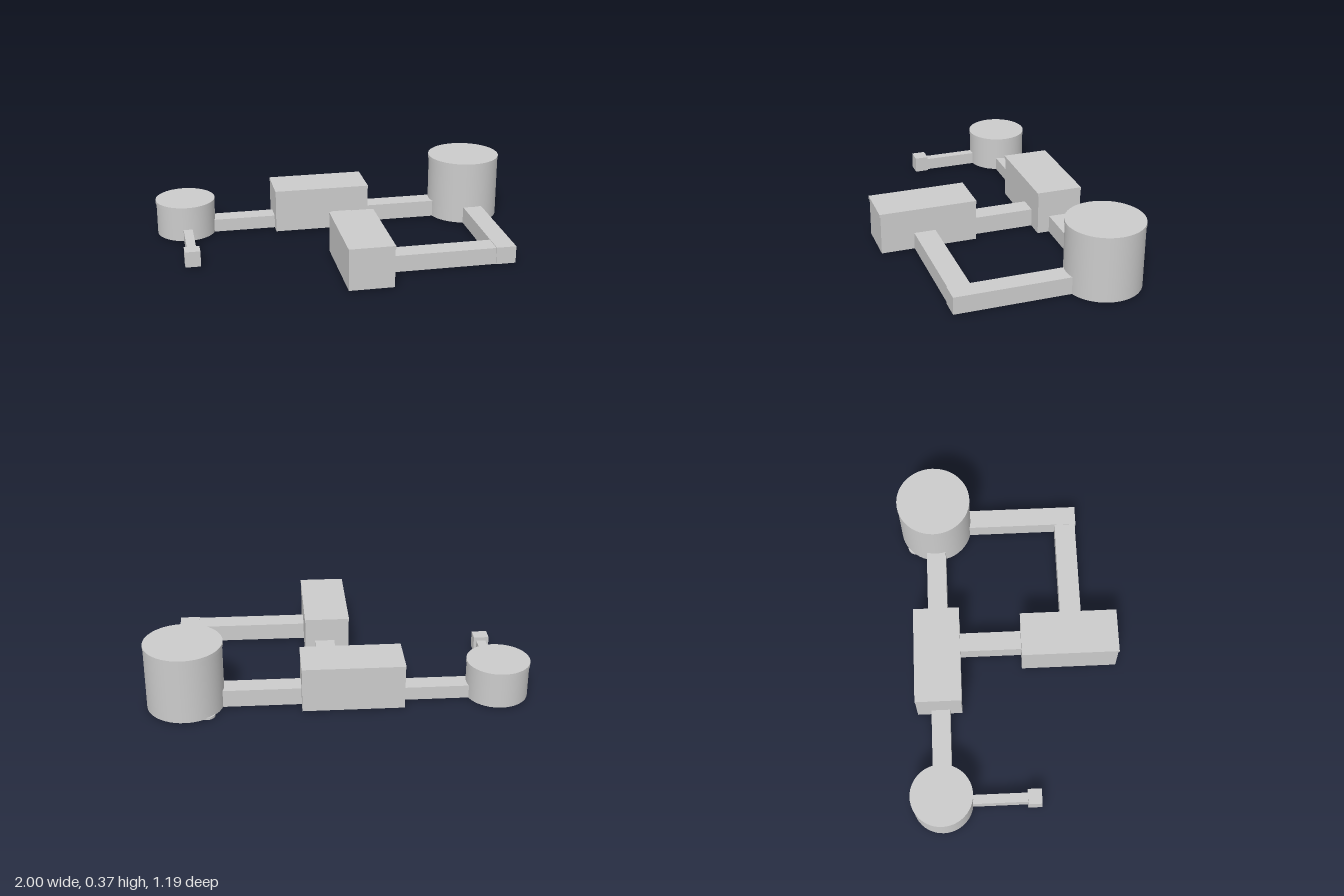
import * as THREE from 'three';

const material = new THREE.MeshStandardMaterial({ color: 0xcccccc });
const BASE = 0.008; // underside of all main parts

export function createModel() {
  const model = new THREE.Group();
  model.name = 'moduleCluster';

  const add = (parent, name, geometry, x, y, z) => {
    const mesh = new THREE.Mesh(geometry, material);
    mesh.name = name;
    mesh.position.set(x, y, z);
    parent.add(mesh);
  };
  // box given by its extents on each axis
  const box = (parent, name, [x0, x1], [y0, y1], [z0, z1]) =>
    add(parent, name, new THREE.BoxGeometry(x1 - x0, y1 - y0, z1 - z0),
      (x0 + x1) / 2, (y0 + y1) / 2, (z0 + z1) / 2);
  const disc = (parent, name, x, z, r, y0, y1) =>
    add(parent, name, new THREE.CylinderGeometry(r, r, y1 - y0, 48), x, (y0 + y1) / 2, z);
  const group = (name) => {
    const g = new THREE.Group();
    g.name = name;
    model.add(g);
    return g;
  };

  // Round modules: drum, lid with a fine lip
  for (const [name, x, r, top] of [
    ['smallRoundModule', -0.835, 0.163, 0.205],
    ['largeRoundModule', 0.795, 0.201, 0.365],
  ]) {
    const g = group(name);
    disc(g, 'drum', x, -0.393, r, BASE, top - 0.02);
    disc(g, 'lid', x - 0.001, -0.393, r + 0.003, top - 0.02, top);
  }

  // Box modules: hall and slightly overhanging roof
  for (const [name, [x0, x1], [z0, z1], top] of [
    ['rearHall', [-0.335, 0.195], [-0.52, -0.275], 0.25],
    ['frontHall', [-0.09, 0.15], [0.065, 0.59], 0.237],
  ]) {
    const g = group(name);
    box(g, 'walls', [x0, x1], [BASE, top - 0.017], [z0, z1]);
    box(g, 'roof', [x0 - 0.002, x1 + 0.002], [top - 0.017, top], [z0 - 0.002, z1 + 0.005]);
  }

  // Connecting corridors
  const corridors = group('corridors');
  box(corridors, 'leftCorridor', [0.19, 0.62], [BASE, 0.102], [-0.448, -0.34]);
  box(corridors, 'rightCorridor', [-0.69, -0.33], [BASE, 0.08], [-0.442, -0.34]);
  box(corridors, 'middleCorridor', [-0.01, 0.097], [BASE, 0.107], [-0.28, 0.07]);
  box(corridors, 'frontCorridor', [0.145, 0.76], [BASE, 0.1], [0.293, 0.41]);
  box(corridors, 'sideCorridor', [0.747, 0.855], [BASE, 0.103], [-0.23, 0.415]);

  // Entry passage ending in a small lock
  const entry = group('entry');
  box(entry, 'passage', [-0.862, -0.812], [BASE, 0.075], [-0.25, 0.065]);
  box(entry, 'lock', [-0.88, -0.797], [BASE, 0.095], [0.062, 0.137]);

  // Low feet under the round modules
  const feet = group('feet');
  disc(feet, 'smallModuleFoot', -0.835, -0.39, 0.052, 0.002, BASE + 0.005);
  disc(feet, 'largeModuleFoot', 0.685, -0.515, 0.045, 0, BASE + 0.005);

  return model;
}
